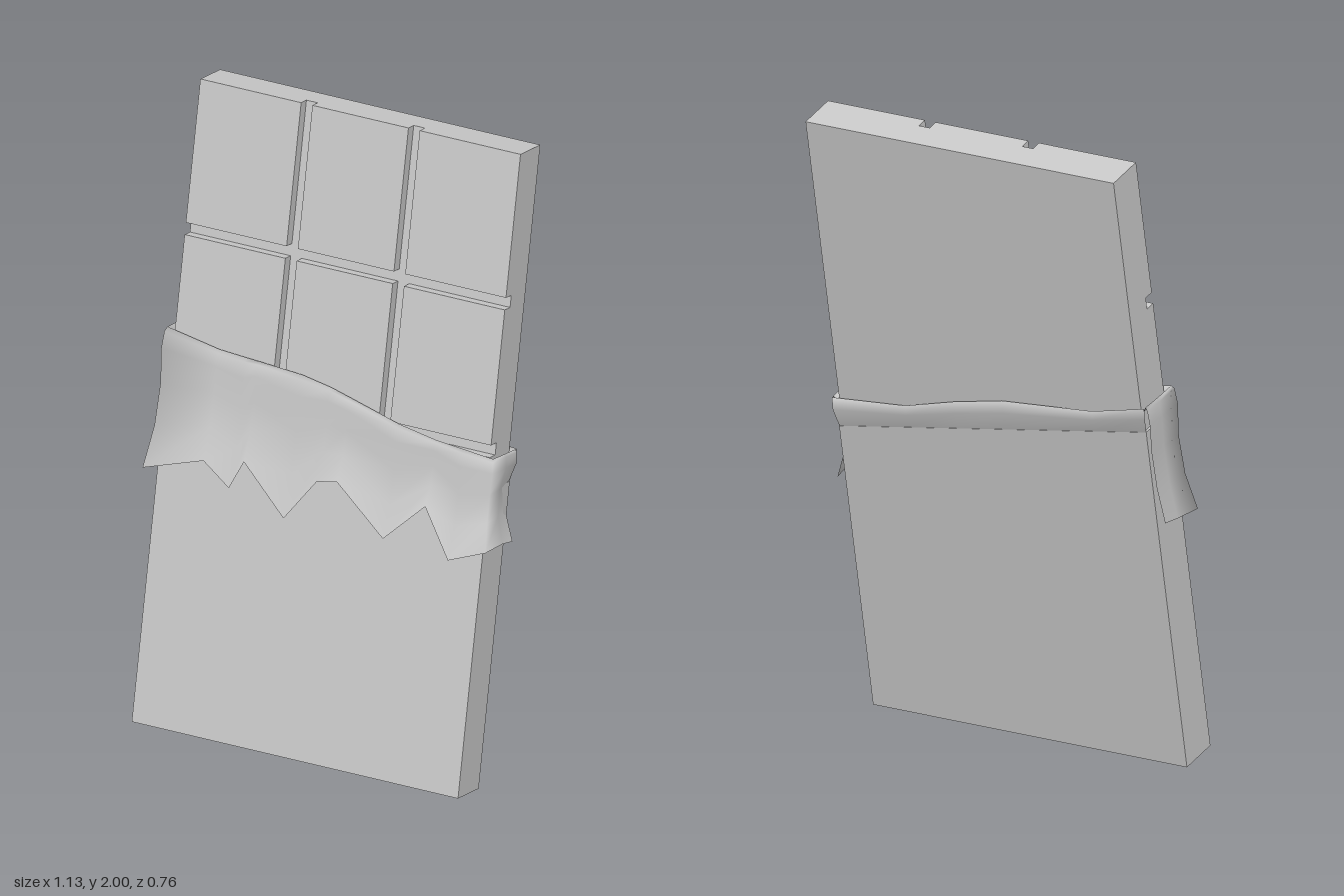
import * as THREE from 'three';

const material = new THREE.MeshStandardMaterial({ color: 0xcccccc });
const foilMaterial = new THREE.MeshStandardMaterial({ color: 0xcccccc, side: THREE.DoubleSide });

// Bar dimensions: half width, half height, half depth
const HW = 0.525, HH = 0.985, HD = 0.065;
// Wrapper is slightly larger than the bar
const WW = 0.535, WD = 0.068;
// Slanted upper edge of the closed wrapper
const wrapLine = (x) => 0.0515 - 0.177 * x;

function addBox(parent, name, x0, x1, y0, y1, z0, z1) {
  const mesh = new THREE.Mesh(new THREE.BoxGeometry(x1 - x0, y1 - y0, z1 - z0), material);
  mesh.position.set((x0 + x1) / 2, (y0 + y1) / 2, (z0 + z1) / 2);
  mesh.name = name;
  parent.add(mesh);
}

// Skin a sheet from columns running around the bar, each a list of points from top to bottom
function sheet(name, columns) {
  const rows = columns[0].length, index = [];
  for (let c = 0; c < columns.length - 1; c++) {
    for (let r = 0; r < rows - 1; r++) {
      const a = c * rows + r, b = a + rows;
      index.push(a, a + 1, b, a + 1, b + 1, b);
    }
  }
  const geometry = new THREE.BufferGeometry();
  geometry.setAttribute('position', new THREE.Float32BufferAttribute(columns.flat(2), 3));
  geometry.setIndex(index);
  geometry.computeVertexNormals();
  const mesh = new THREE.Mesh(geometry, foilMaterial);
  mesh.name = name;
  return mesh;
}

function createChocolate() {
  const group = new THREE.Group();
  group.name = 'chocolateBar';
  const floor = 0.03, half = 0.0185;
  addBox(group, 'barBase', -HW, HW, -0.4, HH, -HD, floor);
  // Raised squares separated by grooves
  const xs = [-HW - half, -0.176, 0.176, HW + half];
  const ys = [-0.4 - half, 0.075, 0.527, HH + half];
  for (let i = 0; i < 3; i++) {
    for (let j = 0; j < 3; j++) {
      addBox(group, 'barSquare', xs[i] + half, xs[i + 1] - half, ys[j] + half, ys[j + 1] - half, floor, HD);
    }
  }
  return group;
}

function createWrapper() {
  const shape = new THREE.Shape([
    new THREE.Vector2(-WW, -HH), new THREE.Vector2(WW, -HH),
    new THREE.Vector2(WW, wrapLine(WW)), new THREE.Vector2(-WW, wrapLine(-WW)),
  ]);
  const geometry = new THREE.ExtrudeGeometry(shape, { depth: 2 * WD, bevelEnabled: false });
  geometry.translate(0, 0, -WD);
  const mesh = new THREE.Mesh(geometry, material);
  mesh.name = 'wrapper';
  return mesh;
}

// Torn flap folded down over the front and both sides
function createTornFlap() {
  // Front columns: x, top edge, jagged bottom edge
  const front = [
    [-WW, 0.226, -0.203], [-0.37, 0.195, -0.14], [-0.28, 0.189, -0.204], [-0.24, 0.187, -0.115],
    [-0.095, 0.177, -0.256], [0, 0.16, -0.122], [0.065, 0.143, -0.11], [0.23, 0.098, -0.247],
    [0.355, 0.076, -0.121], [0.445, 0.068, -0.266], [WW, 0.059, -0.218],
  ];
  // Rows: fraction down the flap, distance off the wrapper
  const rows = [[0.05, -0.006], [0, 0.012], [0.03, 0.02], [0.15, 0.024], [0.4, 0.016], [0.7, 0.021], [1, 0.043]];
  const column = (x, z, nx, nz, top, bottom, pinch = 0) => rows.map(([t, off]) => {
    const d = off - (t > 0.3 && t < 0.9 ? pinch : 0);
    return [x + nx * d, top + (bottom - top) * t, z + nz * d];
  });
  const side = 0.65;
  const columns = [
    column(-WW, -WD, -side, 0, 0.232, -0.155),
    column(-WW, 0, -side, 0, 0.228, -0.175),
    ...front.map(([x, top, bottom]) =>
      column(x, WD, Math.abs(x) === WW ? Math.sign(x) * side : 0, 1, top, bottom)),
    column(WW, 0, side, 0, 0.057, -0.215, 0.012),
    column(WW, -WD, side, 0, 0.056, -0.222, 0.026),
  ];
  return sheet('tornFlap', columns);
}

// Narrow foil strip closing the band across the back
function createBackStrip() {
  const tops = [[WW, 0.056], [0.29, 0.078], [0.12, 0.125], [-0.05, 0.162], [-0.36, 0.188], [-WW, 0.232]];
  const columns = tops.map(([x, top]) => {
    const low = wrapLine(x), edge = Math.abs(x) === WW ? Math.sign(x) * 0.008 : 0;
    return [
      [x, top - 0.015, -HD + 0.002],
      [x + edge, top, -WD - 0.008],
      [x + edge, top * 0.6 + low * 0.4, -WD - 0.011],
      [x, low, -WD + 0.001],
    ];
  });
  return sheet('backStrip', columns);
}

export function createModel() {
  const model = new THREE.Group();
  model.name = 'wrappedChocolateBar';

  const bar = new THREE.Group();
  bar.name = 'tiltedBar';
  bar.add(createChocolate(), createWrapper(), createTornFlap(), createBackStrip());

  // Lean the bar back and turn it
  const across = new THREE.Vector3(0.953, -0.028, -0.301).normalize();
  const facing = across.clone().cross(new THREE.Vector3(-0.02, 0.987, -0.16)).normalize();
  const up = facing.clone().cross(across);
  bar.quaternion.setFromRotationMatrix(new THREE.Matrix4().makeBasis(across, up, facing));
  bar.position.set(0, 1, 0);
  model.add(bar);
  return model;
}
